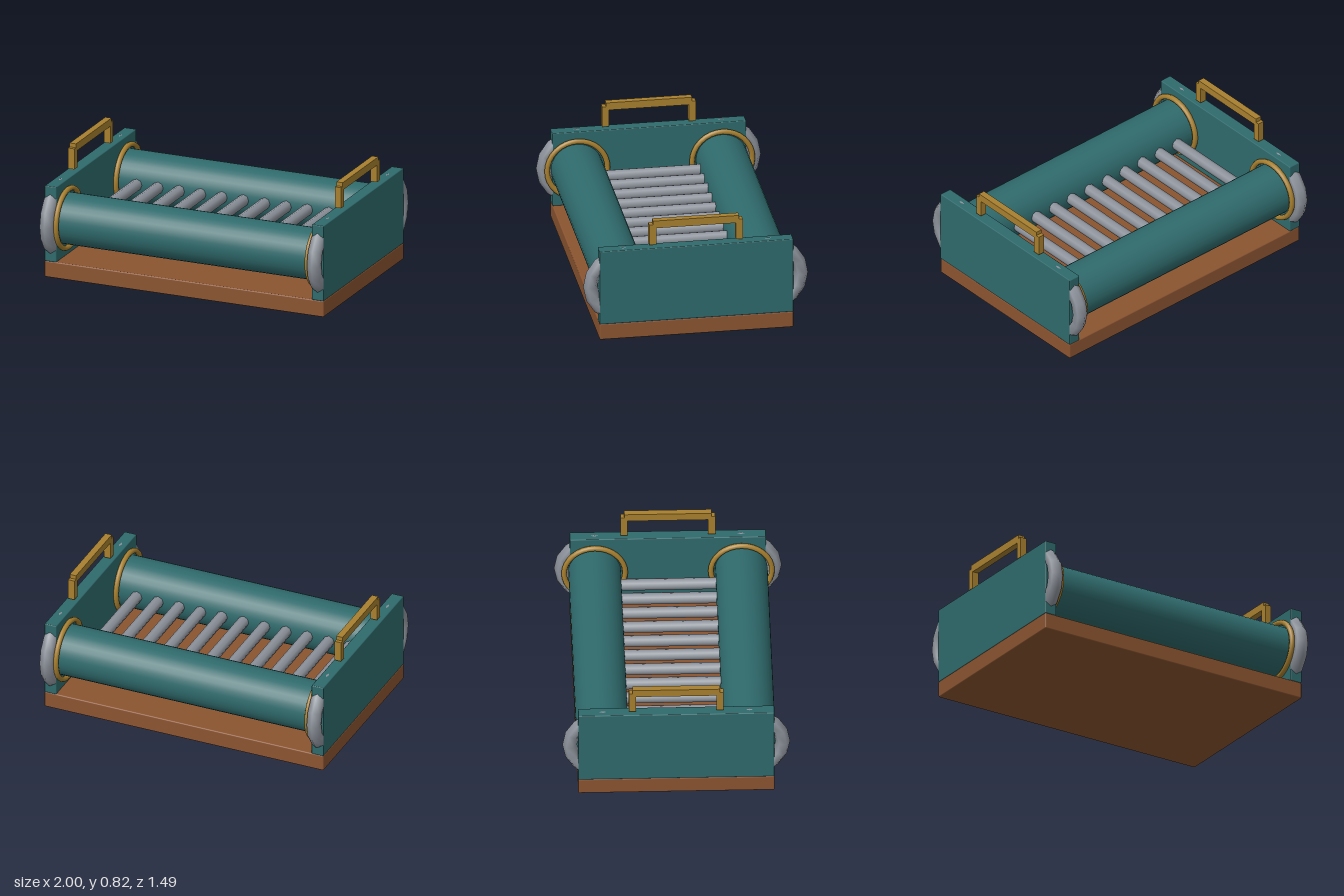
import * as THREE from 'three';
import { RoundedBoxGeometry } from 'three/addons/geometries/RoundedBoxGeometry.js';

function makeMaterial(name, color) {
  const m = new THREE.MeshStandardMaterial({ color });
  m.name = name;
  return m;
}

export function createModel() {
  const model = new THREE.Group();
  model.name = 'rollerFrame';
  const teal = makeMaterial('teal paint', 0x2f6a6c);
  const wood = makeMaterial('brown wood', 0x8b5430);
  const brass = makeMaterial('brass', 0xa8802f);
  const steel = makeMaterial('grey steel', 0x8d929b);

  function add(name, geometry, material, x, y, z) {
    const mesh = new THREE.Mesh(geometry, material);
    mesh.name = name;
    mesh.position.set(x, y, z);
    model.add(mesh);
    return mesh;
  }

  const axleY = 0.37, axleZ = 0.48;

  // Base slab
  add('base', new RoundedBoxGeometry(2, 0.112, 1.284, 2, 0.008), wood, 0, 0.056, 0);

  // Shared geometries, turned so their axes run along x
  const panel = new RoundedBoxGeometry(0.085, 0.52, 1.284, 2, 0.006);
  const wheel = new THREE.TorusGeometry(0.217, 0.048, 6, 16).rotateY(Math.PI / 2);
  const collar = new THREE.TorusGeometry(0.2, 0.018, 8, 32).rotateY(Math.PI / 2);
  const roller = new THREE.CylinderGeometry(0.172, 0.172, 1.84, 32).rotateZ(Math.PI / 2);
  const post = new THREE.BoxGeometry(0.045, 0.142, 0.046);
  const bar = new THREE.BoxGeometry(0.045, 0.052, 0.57);

  // End panels with wheels, collars and carrying handles
  for (const side of [-1, 1]) {
    add('endPanel', panel, teal, side * 0.957, 0.37, 0);
    add('handleBar', bar, brass, side * 0.955, 0.79, 0);
    for (const end of [-1, 1]) {
      add('wheelRing', wheel, steel, side * 0.957, axleY, end * axleZ);
      add('rollerCollar', collar, brass, side * 0.899, axleY, end * axleZ);
      add('handlePost', post, brass, side * 0.955, 0.718, end * 0.287);
    }
  }

  // Front and back rollers
  for (const end of [-1, 1]) add('roller', roller, teal, 0, axleY, end * axleZ);

  // Row of rods between the rollers
  const rod = new THREE.CylinderGeometry(0.039, 0.039, 0.84, 8).rotateX(Math.PI / 2);
  for (let i = -5; i <= 5; i++) add('rod', rod, steel, i * 0.153, axleY, 0);

  return model;
}
